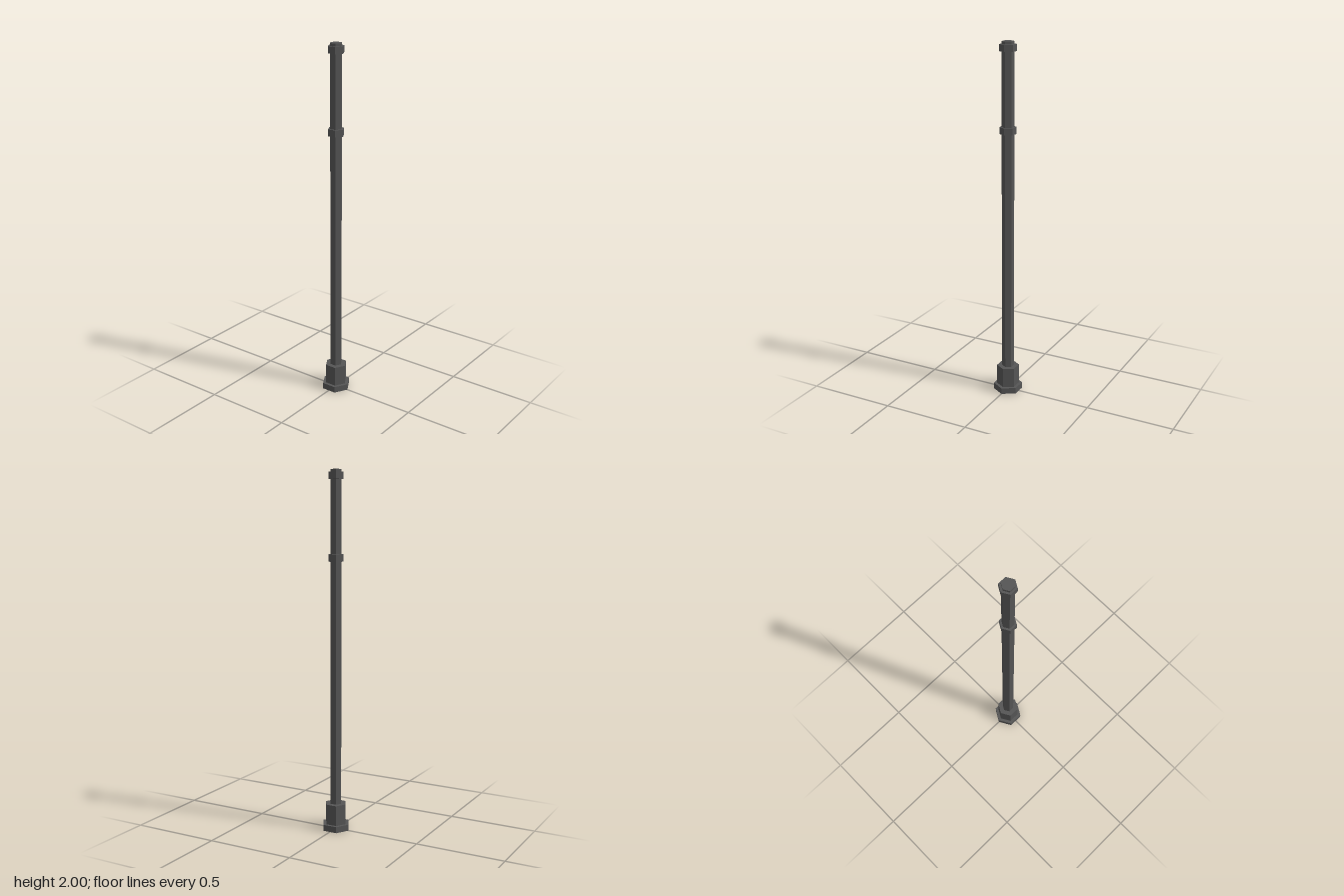
import * as THREE from 'three';

export function createModel() {
  const group = new THREE.Group();
  const material = new THREE.MeshStandardMaterial({ color: 0x555555, flatShading: true });

  // Upright hexagonal prism between two heights, corners on the x axis
  function hexPrism(name, radius, bottom, top) {
    const height = top - bottom;
    const geometry = new THREE.CylinderGeometry(radius, radius, height, 6, 1, false, Math.PI / 2);
    const mesh = new THREE.Mesh(geometry, material);
    mesh.name = name;
    mesh.position.y = bottom + height / 2;
    group.add(mesh);
  }

  // Stepped foot
  hexPrism('basePlate', 0.082, 0, 0.035);
  hexPrism('plinth', 0.063, 0.035, 0.15);

  // Long pole with two collars
  hexPrism('pole', 0.034, 0.15, 2);
  hexPrism('middleCollar', 0.046, 1.51, 1.548);
  hexPrism('topCollar', 0.046, 1.948, 1.985);

  return group;
}
